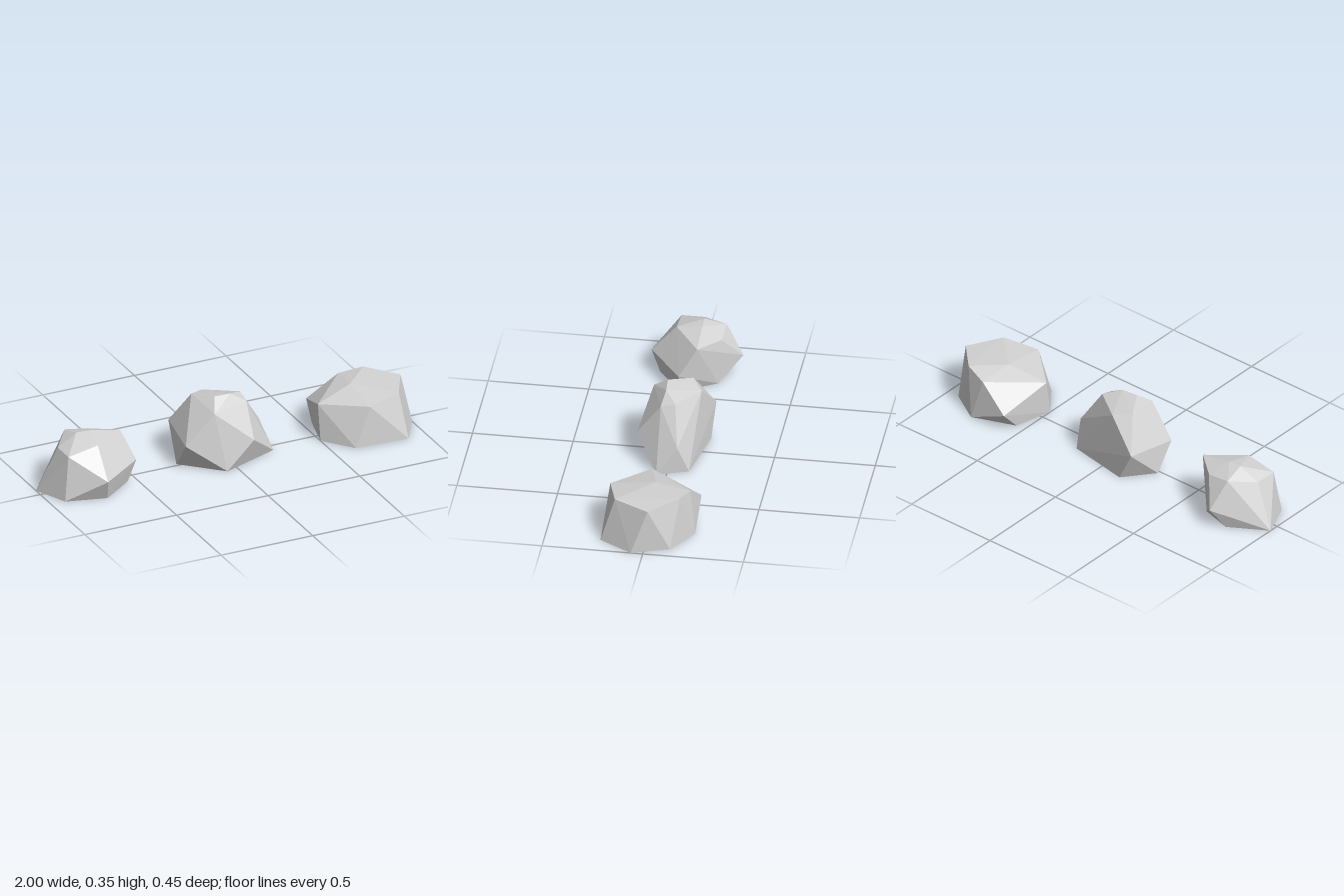
import * as THREE from 'three';
import { ConvexGeometry } from 'three/addons/geometries/ConvexGeometry.js';

// A faceted boulder: the convex hull of a few corner points
function boulder(name, corners, material) {
  const points = corners.map(([x, y, z]) => new THREE.Vector3(x, y, z));
  const mesh = new THREE.Mesh(new ConvexGeometry(points), material);
  mesh.name = name;
  return mesh;
}

export function createModel() {
  const stone = new THREE.MeshStandardMaterial({ color: 0xd3d3d3 });
  stone.name = 'pale grey stone';
  stone.flatShading = true;
  const group = new THREE.Group();
  group.name = 'rocks';

  // Rounded rock with a pointed waist
  group.add(boulder('rightRock', [
    [-1, 0, -0.05], [-0.925, 0, 0.125], [-0.72, 0, 0.18], [-0.55, 0, 0.055], [-0.65, 0, -0.12], [-0.81, 0, -0.165],
    [-0.74, 0.11, 0.226], [-0.503, 0.11, 0.055], [-0.76, 0.107, -0.228],
    [-0.895, 0.225, 0.1], [-0.895, 0.225, -0.02], [-0.735, 0.255, 0.1],
    [-0.55, 0.245, -0.03], [-0.79, 0.28, -0.03], [-0.72, 0.278, -0.03],
    [-0.8, 0.252, -0.14], [-0.675, 0.235, -0.132],
  ], stone));

  // Tall rock
  group.add(boulder('middleRock', [
    [-0.25, 0, -0.015], [-0.06, 0, 0.168], [0.248, 0, 0.05], [0.195, 0, -0.105], [-0.13, 0, -0.165],
    [-0.25, 0.14, 0.09], [0.085, 0.14, 0.168], [0.215, 0.14, -0.05], [-0.215, 0.165, -0.178],
    [-0.105, 0.298, 0.115], [0.1, 0.3, 0.05], [0.1, 0.32, -0.022],
    [-0.07, 0.355, 0.04], [0.02, 0.35, 0.035], [-0.14, 0.335, -0.075], [-0.055, 0.316, -0.13],
  ], stone));

  // Low rock with a wide, nearly flat top
  group.add(boulder('leftRock', [
    [0.5, 0, 0.06], [0.62, 0, 0.21], [0.9, 0, 0.225], [1, 0, 0.06], [0.935, 0, -0.125], [0.77, 0, -0.225], [0.55, 0, -0.14],
    [0.56, 0.095, -0.225], [0.5, 0.187, 0.03],
    [0.7, 0.207, 0.207], [0.88, 0.227, 0.157], [0.975, 0.227, -0.02],
    [0.84, 0.238, -0.16], [0.72, 0.212, -0.195], [0.7, 0.235, -0.02],
  ], stone));

  return group;
}
